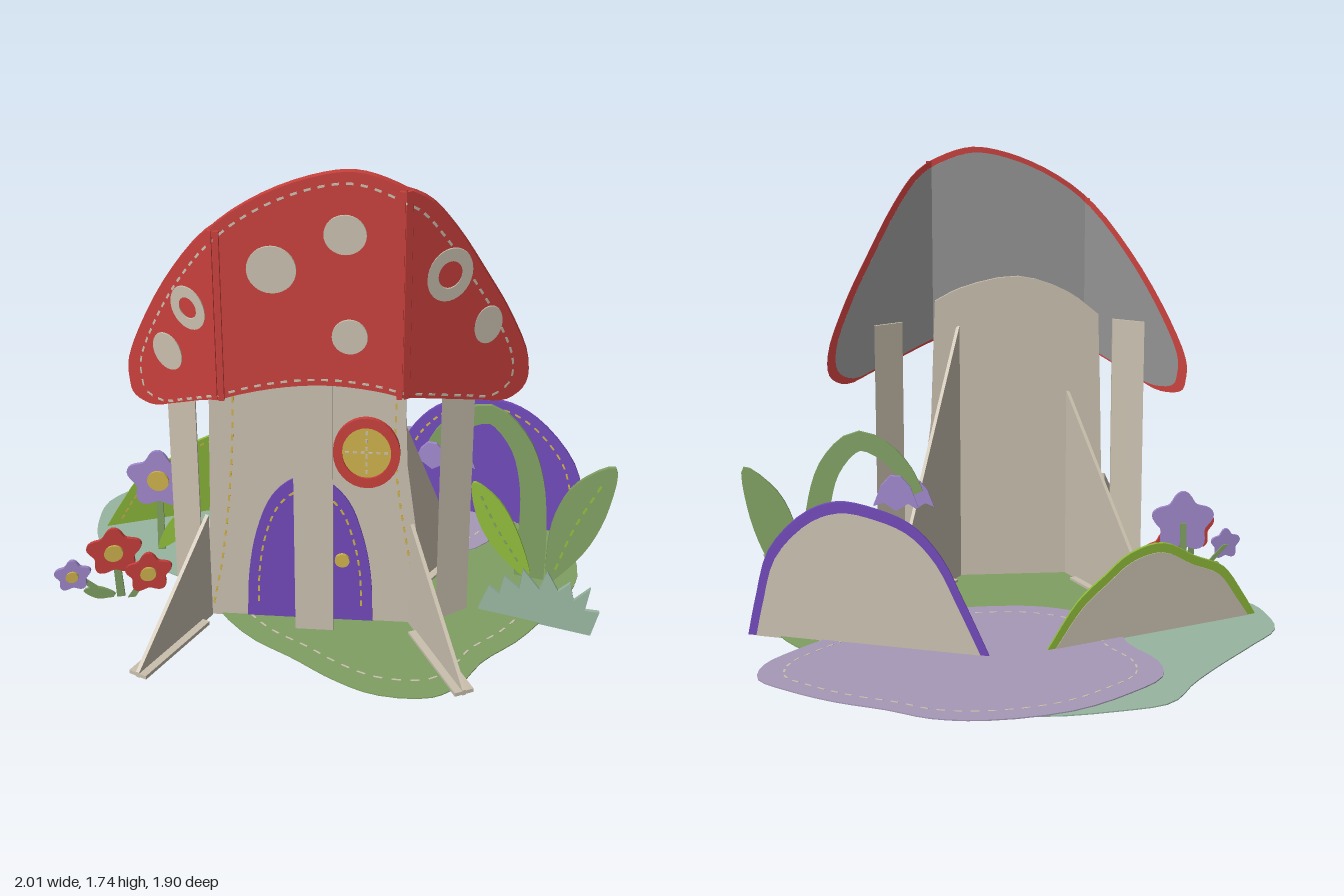
import * as THREE from 'three';
import { mergeGeometries } from 'three/addons/utils/BufferGeometryUtils.js';

const mat = (name, color) => new THREE.MeshStandardMaterial({ name, color });
const M = {
  red: mat('red', 0xc8403c), cream: mat('cream', 0xc9bfae), sage: mat('sage', 0x97b5a0),
  green: mat('leaf green', 0x7f9f62), lime: mat('lime', 0x8fbb3c), purple: mat('deep purple', 0x7049b8),
  lavender: mat('lavender', 0xa088cc), mauve: mat('mauve', 0xa698b6), yellow: mat('yellow', 0xcdb04c),
  grey: mat('grey', 0x929292),
};

// Closed or open smooth curve through 2D points
const curve = (pts, closed = true) =>
  new THREE.CatmullRomCurve3(pts.map(([x, y]) => new THREE.Vector3(x, y, 0)), closed, 'centripetal');
const smooth = (pts, n = 60, closed = true) => curve(pts, closed).getPoints(n).map(p => [p.x, p.y]).slice(0, closed ? n : n + 1);
const ring = (cx, cy, rx, ry = rx, n = 32, lobe = 0) => Array.from({ length: n }, (_, i) => {
  const a = i / n * Math.PI * 2, k = 1 - lobe + lobe * Math.cos(5 * (a - Math.PI / 2));
  return [cx + Math.cos(a) * rx * k, cy + Math.sin(a) * ry * k];
});
const inset = (pts, k) => {
  const xs = pts.map(p => p[0]), ys = pts.map(p => p[1]);
  const cx = (Math.max(...xs) + Math.min(...xs)) / 2, cy = (Math.max(...ys) + Math.min(...ys)) / 2;
  return pts.map(([x, y]) => [cx + (x - cx) * k, cy + (y - cy) * k]);
};
// Keeps the part of an outline on one side of the line x = a
const clip = (pts, a, side) => pts.flatMap((p, i) => {
  const q = pts[(i + 1) % pts.length], inP = (p[0] - a) * side >= 0, inQ = (q[0] - a) * side >= 0;
  const out = inP ? [p] : [];
  if (inP !== inQ) out.push([a, p[1] + (q[1] - p[1]) * (a - p[0]) / (q[0] - p[0])]);
  return out;
});
// Moves a geometry in z by a rule of x
const bend = (g, f) => {
  const p = g.attributes.position;
  for (let i = 0; i < p.count; i++) p.setZ(i, p.getZ(i) + f(p.getX(i)));
  g.computeVertexNormals();
  return g;
};
const at = z => () => z;
const slope = (x0, z0, x1, z1) => x => z0 + (x - x0) * (z1 - z0) / (x1 - x0);
const lift = (f, d) => x => f(x) + d;

export function createModel() {
  const root = new THREE.Group();
  const add = (name, g, m) => {
    const mesh = new THREE.Mesh(g, m);
    mesh.name = name;
    root.add(mesh);
    return mesh;
  };
  // Upright board: outline in x and y, depth t, back face at z = f(x)
  const panel = (name, pts, m, t, f, hole) => {
    const s = new THREE.Shape(pts.map(p => new THREE.Vector2(...p)));
    if (hole) s.holes.push(new THREE.Path(hole.map(p => new THREE.Vector2(...p))));
    return add(name, bend(new THREE.ExtrudeGeometry(s, { depth: t, bevelEnabled: false }), f), m);
  };
  // Row of small dashes along a curve
  const stitches = (name, pts, m, f, n, closed = true, step = 0.5) => {
    const c = curve(pts, closed), len = c.getLength() / n * step;
    const dashes = Array.from({ length: n }, (_, i) => {
      const u = (i + 0.5) / n, p = c.getPointAt(u), d = c.getTangentAt(u);
      return new THREE.BoxGeometry(len, 0.007, 0.004).rotateZ(Math.atan2(d.y, d.x)).translate(p.x, p.y, 0);
    });
    return add(name, bend(mergeGeometries(dashes), f), m);
  };

  // Ground mats, stacked (outline given as x, z)
  const matShapes = [
    ['sageMat', M.sage, [[-.02, -.92], [-.28, -.9], [-.46, -.85], [-.57, -.69], [-.7, -.53], [-.85, -.36], [-.97, -.21], [-.98, -.06],
      [-.95, .07], [-.85, .17], [-.69, .25], [-.49, .35], [-.2, .46], [.15, .5], [.42, .38], [.55, .15], [.58, -.2], [.5, -.55], [.28, -.84]]],
    ['greenMat', M.green, [[.79, -.24], [.88, -.05], [.9, .2], [.8, .4], [.68, .59], [.55, .73], [.47, .87], [.38, .94], [.19, .94],
      [.04, .87], [-.1, .77], [-.29, .64], [-.45, .42], [-.49, .16], [-.4, -.16], [-.2, -.33], [.1, -.4], [.38, -.48], [.6, -.42]]],
    ['mauveMat', M.mauve, [[.15, -.95], [.33, -.92], [.47, -.84], [.64, -.76], [.8, -.65], [.9, -.55], [.89, -.42], [.79, -.29], [.64, -.14],
      [.52, .02], [.35, .08], [.08, .11], [-.13, .09], [-.29, 0], [-.38, -.13], [-.4, -.32], [-.48, -.5], [-.47, -.64], [-.34, -.77], [-.13, -.9]]],
  ];
  matShapes.forEach(([name, m, xz], i) => {
    const pts = xz.map(([x, z]) => [x, -z]);
    panel(name, smooth(pts), m, 0.004, at(i * 0.003)).rotation.x = -Math.PI / 2;
    if (i) stitches(name + 'Stitches', inset(pts, 0.87), M.cream, at(i * 0.003 + 0.003), 60).rotation.x = -Math.PI / 2;
  });

  // Trunk wall
  const left = [[-.4, 1.08], [-.41, .8], [-.42, .4], [-.44, 0]], right = [[.36, 0], [.31, .35], [.27, .65], [.25, 1.14]];
  panel('trunk', [...left, ...right, ...smooth([[.25, 1.14], [.15, 1.19], [-.08, 1.235], [-.28, 1.17], [-.4, 1.08]], 12, false).slice(1, -1)],
    M.cream, 0.018, at(0.505));
  stitches('trunkStitchesLeft', [[-.32, 1.0], [-.34, .6], [-.38, .25], [-.42, .04]], M.yellow, at(0.524), 20, false);
  stitches('trunkStitchesRight', [[.23, 1.0], [.23, .65], [.27, .35], [.33, .04]], M.yellow, at(0.524), 20, false);

  // Door with knob
  const arch = [[-.295, .01], [-.285, .2], [-.255, .37], [-.2, .51], [-.13, .58], [-.07, .595], [0, .575], [.07, .5], [.12, .36], [.148, .2], [.155, .01]];
  panel('door', smooth(arch, 40, false), M.purple, 0.008, at(0.523));
  stitches('doorStitches', inset(arch, 0.82), M.yellow, at(0.532), 26, false);
  panel('doorKnob', ring(.047, .265, .026), M.yellow, 0.012, at(0.531));

  // Round window
  panel('windowFrame', ring(.13, .7, .115, .135), M.red, 0.016, at(0.523), ring(.13, .7, .084, .098));
  panel('windowPane', ring(.13, .7, .088, .102), M.yellow, 0.008, at(0.523));
  stitches('windowBarUpright', [[.13, .61], [.13, .79]], M.cream, at(0.532), 6, false);
  stitches('windowBarAcross', [[.05, .7], [.21, .7]], M.cream, at(0.532), 6, false);

  // Cap: three flat panels folded at the seams
  const seamL = -.355, seamR = .255;
  const capZ = x => .6 - Math.max(0, x - seamR) * .75 - Math.max(0, seamL - x) * .8;
  const capPts = [[-.72, .85], [-.705, .8], [-.63, .79], [-.53, .84], [-.37, .925], [-.18, .98], [0, 1], [.17, .985], [.27, .96], [.49, .88],
    [.6, .845], [.66, .88], [.668, .97], [.6, 1.16], [.52, 1.32], [.41, 1.52], [.32, 1.64], [.22, 1.7], [.1, 1.735], [-.02, 1.72],
    [-.2, 1.65], [-.37, 1.53], [-.53, 1.32], [-.66, 1.08], [-.72, .92]];
  const capLine = smooth(capPts, 90), capBack = inset(capLine, 0.955);
  const thirds = p => [clip(p, seamL, -1), clip(clip(p, seamL, 1), seamR, -1), clip(p, seamR, 1)];
  thirds(capLine).forEach((p, i) => panel('capPanel' + i, p, M.red, 0.03, capZ));
  thirds(capBack).forEach((p, i) => panel('capLining' + i, p, M.grey, 0.004, lift(capZ, -0.004)));
  for (const [x, y0, y1] of [[seamL, .935, 1.53], [seamR, .965, 1.68]])
    for (const d of [-.012, .012])
      panel('capSeam', [[x + d - .009, y0], [x + d + .009, y0], [x + d + .009, y1], [x + d - .009, y1]], M.red, 0.016, lift(capZ, 0.028));
  stitches('capStitches', inset(capPts, 0.92), M.cream, lift(capZ, 0.031), 80);

  // Cap spots: x, y, radii, hole scale
  const spots = [[-.17, 1.405, .08, .08], [.065, 1.53, .068, .066], [.08, 1.18, .058, .06], [-.46, 1.225, .066, .073, .5],
    [-.55, 1.03, .058, .064], [.395, 1.365, .072, .09, .52], [.525, 1.15, .046, .066]];
  for (const [x, y, rx, ry, h] of spots)
    panel('capSpot', ring(x, y, rx, ry), M.cream, 0.009, lift(capZ, 0.029), h && ring(x, y, rx * h, ry * h));

  // Posts behind the cap
  for (const [x0, x1] of [[-.57, -.457], [-.115, .02], [.38, .49]])
    panel('capPost', [[x0, 0], [x1, 0], [x1, 1.06], [x0, 1.06]], M.cream, 0.015, lift(capZ, -0.02));

  // Triangular braces with floor battens: wall end, floor end, height, tip height
  const braces = [[-.28, .505, -.53, -.09, .77, .07], [.16, .505, .45, .04, 1.04, .02],
    [-.43, .525, -.62, .91, .42, .02], [.29, .525, .49, .91, .42, .02]];
  for (const [x0, z0, x1, z1, h, tip] of braces) {
    const len = Math.hypot(x1 - x0, z1 - z0), g = new THREE.Group();
    const web = panel('braceWeb', [[0, 0], [len, 0], [len, tip], [0, h]], M.cream, 0.014, at(-0.007));
    const foot = add('braceFoot', new THREE.BoxGeometry(len * .86, 0.014, 0.07).translate(len * .57, 0.01, 0), M.cream);
    g.name = 'brace';
    g.add(web, foot);
    g.position.set(x0, 0, z0);
    g.rotation.y = -Math.atan2(z1 - z0, x1 - x0);
    root.add(g);
  }

  // Hill boards with cream backs
  const hills = [
    ['purpleHill', M.purple, slope(.1, -.41, .97, -.09), [[.97, 0], [.94, .14], [.885, .33], [.75, .48], [.63, .53], [.5, .515], [.37, .465], [.27, .36], [.19, .2], [.1, 0]]],
    ['limeHill', M.lime, slope(-.93, -.04, -.1, -.37), [[-.1, 0], [-.22, .17], [-.32, .25], [-.42, .32], [-.55, .34], [-.68, .27], [-.8, .21], [-.88, .1], [-.94, 0]]],
  ];
  for (const [name, m, f, pts] of hills) {
    const back = inset(pts, 0.93).map(([x, y]) => [x, Math.max(0, y - .022)]);
    panel(name, smooth(pts, 32, false), m, 0.016, f);
    panel(name + 'Back', smooth(back, 32, false), M.cream, 0.004, lift(f, -0.004));
    stitches(name + 'Stitches', inset(pts, 0.87), M.yellow, lift(f, 0.017), 30, false);
  }

  // Tall drooping plant with leaves and bells
  const plantZ = slope(.28, .07, .975, .25);
  const stem = curve([[.72, 0], [.725, .2], [.71, .42], [.66, .57], [.56, .665], [.46, .63], [.385, .55], [.345, .47]], false);
  const edge = side => Array.from({ length: 25 }, (_, i) => {
    const p = stem.getPointAt(i / 24), d = stem.getTangentAt(i / 24), w = .055 - .025 * i / 24;
    return [p.x - d.y * w * side, p.y + d.x * w * side];
  });
  panel('droopingStem', [...edge(1), ...edge(-1).reverse()], M.green, 0.016, plantZ);
  for (const [x, y, k] of [[.42, .47, 1], [.345, .46, .8]])
    panel('bellFlower', [[-.02, .07], [-.055, .03], [-.085, -.05], [-.045, -.035], [0, -.065], [.045, -.035], [.085, -.05], [.055, .03], [.02, .07]]
      .map(([a, b]) => [x + a * k, y + b * k]), M.lavender, 0.016, lift(plantZ, x > .4 ? -0.018 : 0.014));
  const leaves = [
    ['greenLeaf', M.green, [[.79, .01], [.78, .15], [.8, .3], [.87, .45], [1, .54], [.99, .38], [.93, .2], [.84, .06]], [[.81, .06], [.87, .26], [.96, .47]]],
    ['limeLeaf', M.lime, [[.72, .01], [.6, .1], [.52, .23], [.5, .38], [.59, .33], [.67, .2]], [[.68, .07], [.59, .21], [.525, .34]]],
  ];
  for (const [name, m, pts, vein] of leaves) {
    panel(name, smooth(pts, 32), m, 0.014, lift(plantZ, 0.016));
    stitches(name + 'Vein', vein, name === 'limeLeaf' ? M.green : M.lime, lift(plantZ, 0.031), 8, false);
  }

  // Spiky grass tuft
  panel('grassTuft', [[.53, 0], [.57, .115], [.605, .09], [.62, .17], [.675, .13], [.685, .215], [.745, .145], [.77, .225], [.81, .155],
    [.85, .2], [.865, .13], [.92, .195], [.905, .1], [.955, .105], [.93, 0]], M.sage, 0.014, slope(.55, .41, .91, .52));

  // Flowers: x, y, radius, colour, foot x, plane
  const row = slope(-.985, .5, -.65, .41);
  const flowers = [[-.94, .115, .066, M.lavender, -.82, row], [-.79, .2, .1, M.red, -.78, row],
    [-.672, .105, .085, M.red, -.74, lift(row, 0.012)], [-.685, .32, .125, M.lavender, -.69, at(.125)]];
  for (const [x, y, r, m, fx, f] of flowers) {
    panel('flowerStem', [[fx - .014, 0], [fx + .014, 0], [x + .012, y], [x - .012, y]], M.green, 0.008, lift(f, -0.008));
    panel('flowerPetals', ring(x, y, r, r, 50, 0.14), m, 0.014, f);
    panel('flowerCentre', ring(x, y, r * .33), M.yellow, 0.009, lift(f, 0.014));
  }
  panel('flowerLeaf', smooth([[-.7, .01], [-.66, .12], [-.58, .2], [-.6, .08]], 20), M.lime, 0.01, at(.118));
  panel('flowerLeafSmall', smooth([[-.8, .01], [-.86, .05], [-.91, .04], [-.86, .0]], 20), M.green, 0.01, lift(row, -0.01));

  return root;
}
